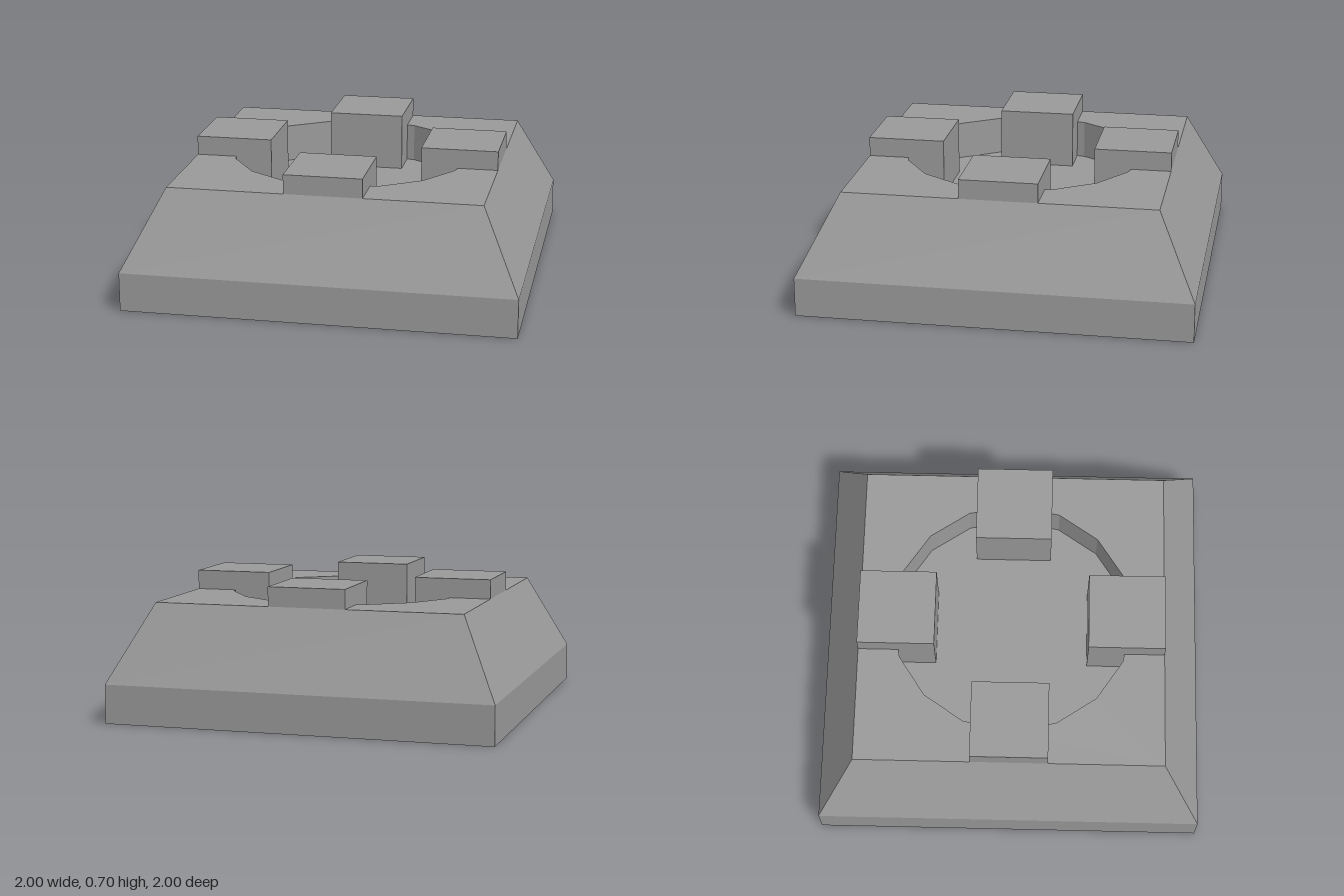
import * as THREE from 'three';

const RIM = 0.63, SIDES = 16; // recess radius and facets
const DECK_Y = 0.6, FLOOR_Y = 0.4;

export function createModel() {
  const model = new THREE.Group();
  model.name = 'squarePedestal';
  const stone = new THREE.MeshStandardMaterial({ color: 0x999999, flatShading: true, side: THREE.DoubleSide });

  const add = (name, geometry, x, y, z) => {
    const mesh = new THREE.Mesh(geometry, stone);
    mesh.name = name;
    mesh.position.set(x, y, z);
    model.add(mesh);
    return mesh;
  };

  // Open four-sided ring of walls, given half widths
  const squareWalls = (top, bottom, height) =>
    new THREE.CylinderGeometry(top * Math.SQRT2, bottom * Math.SQRT2, height, 4, 1, true).rotateY(Math.PI / 4);

  // Hollow base: upright skirt and sloping sides, open underneath
  add('skirt', squareWalls(1, 1, 0.2), 0, 0.1, 0);
  add('slopingSides', squareWalls(0.8, 1, 0.4), 0, 0.4, 0);

  // Deck with a faceted round opening
  const deck = new THREE.Shape([[-0.8, -0.8], [0.8, -0.8], [0.8, 0.8], [-0.8, 0.8]]
    .map(([x, y]) => new THREE.Vector2(x, y)));
  const opening = [];
  for (let i = 0; i < SIDES; i++) {
    const a = -i / SIDES * Math.PI * 2;
    opening.push(new THREE.Vector2(Math.cos(a) * RIM, Math.sin(a) * RIM));
  }
  deck.holes.push(new THREE.Path(opening));
  add('deck', new THREE.ShapeGeometry(deck).rotateX(-Math.PI / 2), 0, DECK_Y, 0);

  // Shallow recess
  add('recessWall', new THREE.CylinderGeometry(RIM, RIM, DECK_Y - FLOOR_Y, SIDES, 1, true),
    0, (DECK_Y + FLOOR_Y) / 2, 0);
  add('recessFloor', new THREE.CircleGeometry(RIM, SIDES).rotateX(-Math.PI / 2), 0, FLOOR_Y, 0);

  // Block without its underside (the fourth face of a box)
  const openBlock = new THREE.BoxGeometry(0.4, 0.3, 0.4);
  openBlock.setIndex([...openBlock.index.array].filter((_, i) => i < 18 || i >= 24));
  openBlock.clearGroups();

  // Four hollow blocks bridging the rim, down to the recess floor level
  for (let i = 0; i < 4; i++) {
    const a = i * Math.PI / 2;
    const block = add('rimBlock' + (i + 1), openBlock, Math.cos(a) * 0.6, 0.55, Math.sin(a) * 0.6);
    block.rotation.y = -a;
  }

  return model;
}
